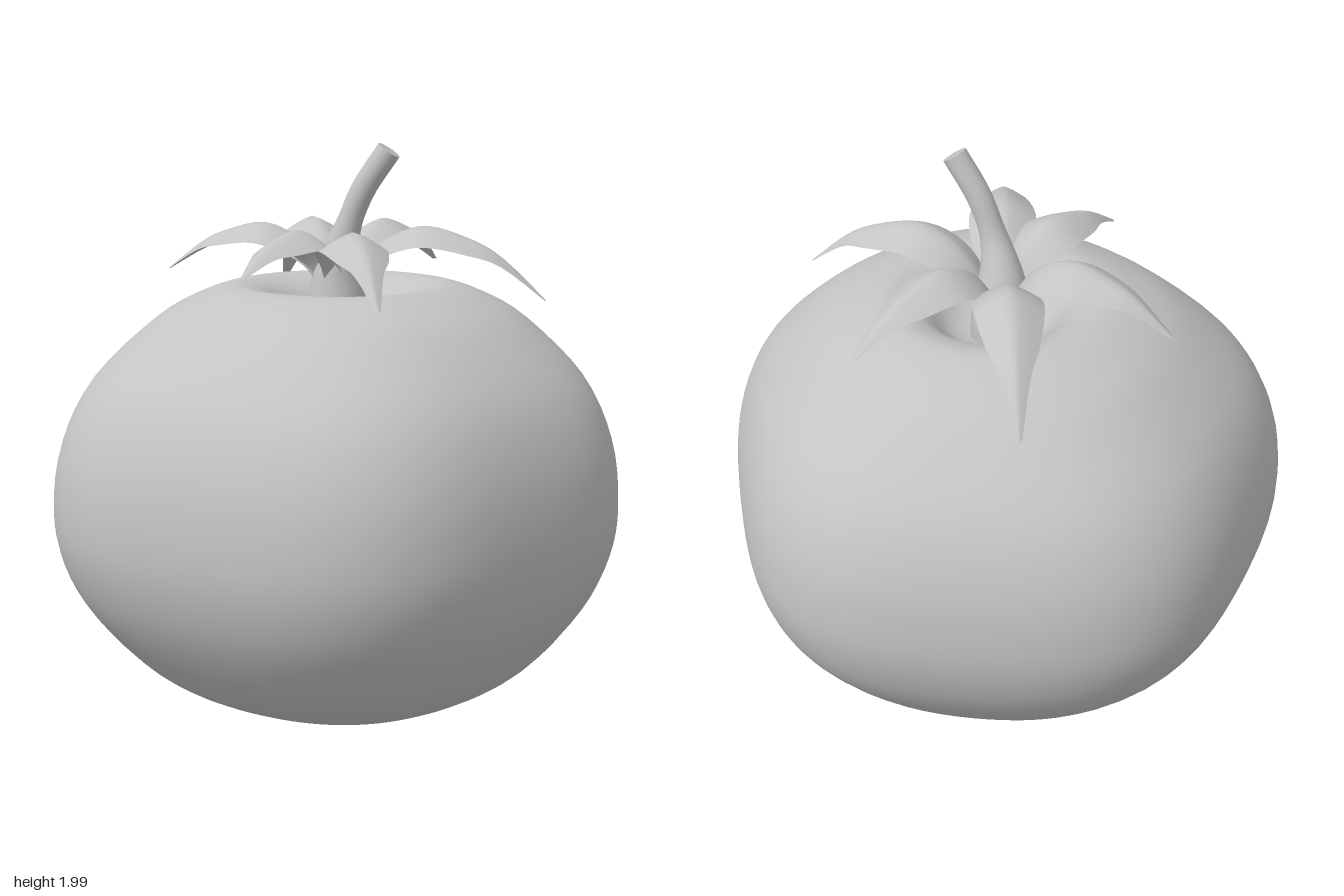
import * as THREE from 'three';
import { mergeVertices } from 'three/addons/utils/BufferGeometryUtils.js';

const grey = new THREE.MeshStandardMaterial({ color: 0xc4c4c4, side: THREE.DoubleSide });
grey.name = 'plain grey';

const spline = (pts) => new THREE.SplineCurve(pts.map(([x, y]) => new THREE.Vector2(x, y)));

// Welds seams so the surface shades smoothly
function smooth(geo) {
  geo.deleteAttribute('uv');
  geo.deleteAttribute('normal');
  const welded = mergeVertices(geo, 1e-5);
  welded.computeVertexNormals();
  return welded;
}

function part(name, geo) {
  const mesh = new THREE.Mesh(geo, grey);
  mesh.name = name;
  return mesh;
}

// Squat fruit with five soft lobes and a dimple on top
function makeFruit() {
  const profile = spline([
    [0, 0.005], [0.25, 0.025], [0.5, 0.1], [0.69, 0.215], [0.86, 0.42], [0.942, 0.6],
    [0.965, 0.78], [0.935, 1.0], [0.835, 1.21], [0.64, 1.4], [0.5, 1.48], [0.38, 1.517],
    [0.3, 1.505], [0.24, 1.47], [0.17, 1.4], [0.1, 1.37], [0, 1.36],
  ]).getPoints(64);
  profile.forEach((p) => { p.x = Math.max(p.x, 0); });
  const geo = new THREE.LatheGeometry(profile, 80);
  const pos = geo.attributes.position;
  for (let i = 0; i < pos.count; i++) {
    const x = pos.getX(i), z = pos.getZ(i);
    const angle = Math.atan2(z, x);
    const r = Math.hypot(x, z) / 0.965;
    const k = 1 + 0.031 * r * r * (Math.cos(5 * angle) - Math.cos(angle));
    pos.setX(i, x * k);
    pos.setZ(i, z * k);
  }
  return part('fruit', smooth(geo));
}

// Bent stem, flared at the foot, with a flat cut end
function makeStem() {
  const path = new THREE.CatmullRomCurve3([
    [-0.02, 1.34, 0], [-0.02, 1.5, 0.005], [-0.008, 1.6, 0.02],
    [0.022, 1.7, 0.038], [0.08, 1.84, 0.047], [0.17, 1.975, 0.05],
  ].map((p) => new THREE.Vector3(...p)));
  const rings = 30, sides = 20, tipRadius = 0.042;
  const geo = new THREE.TubeGeometry(path, rings, 1, sides);
  const pos = geo.attributes.position;
  const v = new THREE.Vector3();
  for (let i = 0; i < pos.count; i++) {
    const u = Math.floor(i / (sides + 1)) / rings;
    const radius = tipRadius + 0.063 * (1 - THREE.MathUtils.smoothstep(u, 0.1, 0.65));
    const c = path.getPointAt(u);
    v.fromBufferAttribute(pos, i).sub(c).multiplyScalar(radius).add(c);
    pos.setXYZ(i, v.x, v.y, v.z);
  }
  const cap = part('stemEnd', new THREE.CircleGeometry(tipRadius, sides));
  cap.position.copy(path.getPointAt(1));
  cap.quaternion.setFromUnitVectors(new THREE.Vector3(0, 0, 1), path.getTangentAt(1));
  const group = new THREE.Group();
  group.name = 'stem';
  group.add(part('stemShaft', smooth(geo)), cap);
  return group;
}

// Arched leaf along +x: a ridged strip that narrows to a tip
function makeSepal(length, tipY) {
  const drop = 1.72 - tipY;
  const arch = spline([
    [0.07, 1.53], [0.16, 1.625], [0.28, 1.69], [0.44, 1.72],
    [0.65, 1.72 - 0.18 * drop], [0.8, 1.72 - 0.44 * drop], [1, tipY],
  ]);
  const width = spline([
    [0, 0.045], [0.167, 0.075], [0.333, 0.108], [0.5, 0.113],
    [0.667, 0.085], [0.833, 0.046], [1, 0.008],
  ]);
  const rows = 24, cols = 8;
  const geo = new THREE.PlaneGeometry(1, 1, cols, rows);
  const pos = geo.attributes.position;
  for (let i = 0; i < pos.count; i++) {
    const t = Math.floor(i / (cols + 1)) / rows;
    const side = ((i % (cols + 1)) / cols) * 2 - 1;
    const p = arch.getPoint(t), w = width.getPoint(t).y;
    const sag = 0.55 * w * Math.pow(Math.abs(side), 1.3);
    pos.setXYZ(i, p.x * length, p.y - sag, -side * w);
  }
  geo.computeVertexNormals();
  // Flip the winding if the upper face points down
  if (geo.attributes.normal.getY(Math.floor(pos.count / 2)) < 0) {
    geo.index.array.reverse();
    geo.computeVertexNormals();
  }
  return part('sepal', geo);
}

export function createModel() {
  const model = new THREE.Group();
  model.name = 'tomato';
  model.add(makeFruit(), makeStem());

  // Tip positions of the six sepals: x, y, z
  const crown = new THREE.Group();
  crown.name = 'crown';
  crown.position.x = -0.02;
  const tips = [
    [0.7, 1.48, 0], [0.225, 1.545, -0.575], [-0.37, 1.455, -0.64],
    [-0.64, 1.55, -0.05], [-0.215, 1.59, 0.51], [0.25, 1.515, 0.62],
  ];
  for (const [x, y, z] of tips) {
    const dx = x - crown.position.x;
    const sepal = makeSepal(Math.hypot(dx, z), y);
    sepal.rotation.y = Math.atan2(-z, dx);
    crown.add(sepal);
  }
  model.add(crown);
  return model;
}
